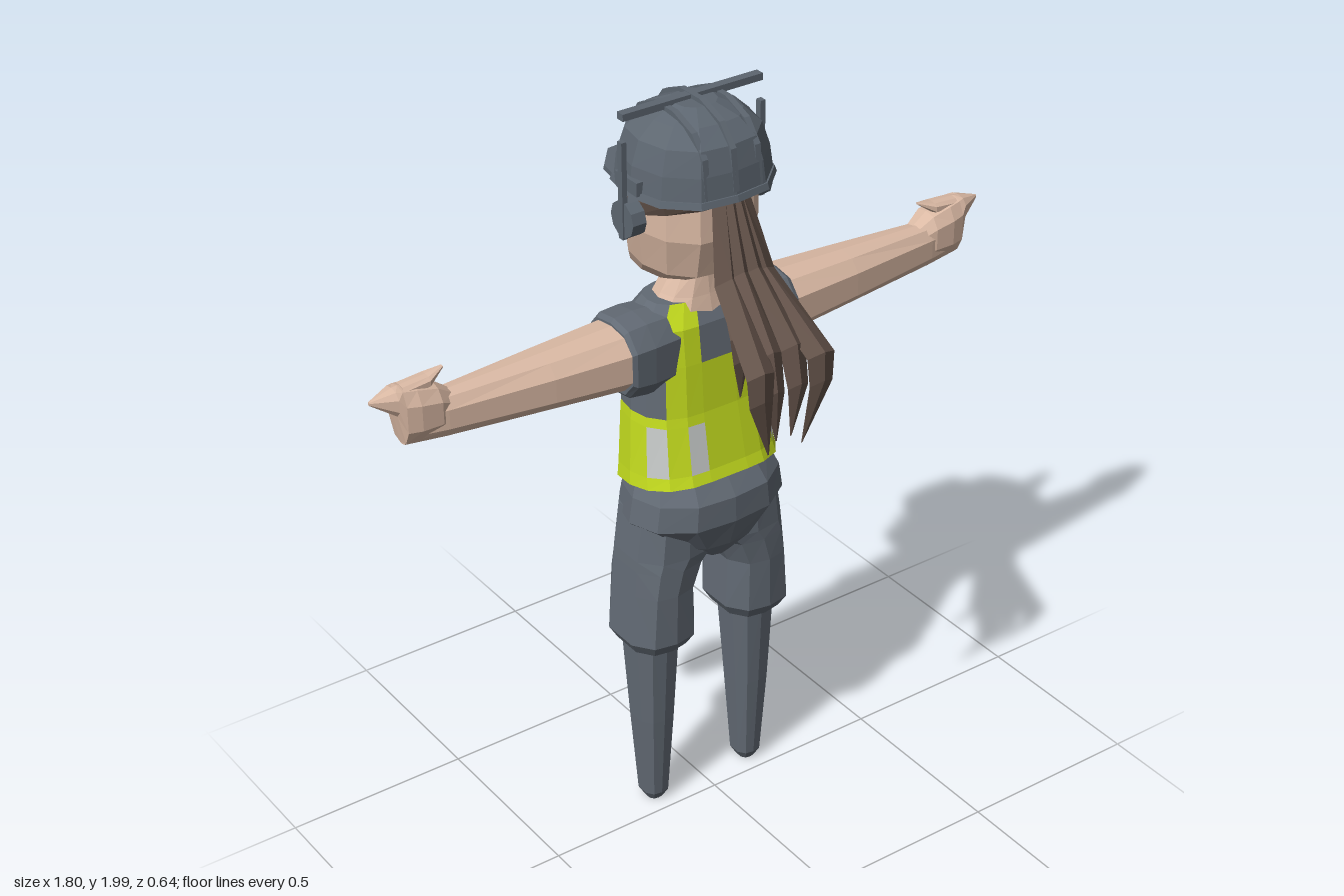
import * as THREE from 'three';

const mat = (name, color) => {
  const m = new THREE.MeshStandardMaterial({ color });
  m.name = name;
  return m;
};

// Half outlines (x, z factors), from the +z side round to the -z side
const ROUND = [[0, 1], [0.5, 0.93], [0.87, 0.55], [1, 0], [0.9, -0.55], [0.55, -0.95], [0, -1]];
const OCT = [[0, 1], [0.62, 0.9], [1, 0.45], [1, -0.45], [0.62, -0.9], [0, -1]];
const TORSO = [[0, 1], [0.27, 1], [0.52, 0.97], [0.78, 0.8], [0.95, 0.45], [1, 0],
  [0.95, -0.5], [0.78, -0.82], [0.52, -0.97], [0.27, -1], [0, -1]];
const whole = half => [...half, ...half.slice(1, -1).reverse().map(([x, z]) => [-x, z])];

// Horizontal cross-section; tilt raises the +z side
const ring = (half, y, x0, x1, z0, z1, tilt = 0) => whole(half).map(([u, v]) =>
  [(x0 + x1) / 2 + u * (x1 - x0) / 2, y + tilt * v, (z0 + z1) / 2 + v * (z1 - z0) / 2]);
// Upright cross-section across the x axis
const ringX = (x, y0, y1, z0, z1) => whole(OCT).map(([u, v]) =>
  [x, (y0 + y1) / 2 + v * (y1 - y0) / 2, (z0 + z1) / 2 + u * (z1 - z0) / 2]);

// Faceted skin over cross-sections with closed ends; pick(row, column) gives a material index
function loft(rings, pick = () => 0) {
  const buckets = [], n = rings[0].length;
  const add = (k, ...p) => (buckets[k] ??= []).push(...p);
  rings.slice(1).forEach((top, r) => {
    for (let c = 0; c < n; c++) {
      const d = (c + 1) % n, low = rings[r];
      add(pick(r, c), [low[c], low[d], top[d]], [low[c], top[d], top[c]]);
    }
  });
  const last = rings.at(-1), mid = R => [0, 1, 2].map(k => R.reduce((s, p) => s + p[k], 0) / n);
  for (let c = 0; c < n; c++) {
    const d = (c + 1) % n;
    add(0, [mid(rings[0]), rings[0][d], rings[0][c]], [mid(last), last[c], last[d]]);
  }
  // Turn the skin outward
  const V = p => new THREE.Vector3(...p);
  const volume = buckets.flat().reduce((s, [a, b, c]) => s + V(a).dot(V(b).cross(V(c))), 0);
  const g = new THREE.BufferGeometry(), pos = [];
  buckets.forEach((tris, k) => {
    g.addGroup(pos.length / 3, tris.length * 3, k);
    tris.forEach(t => pos.push(...(volume < 0 ? [t[0], t[2], t[1]] : t).flat()));
  });
  g.setAttribute('position', new THREE.Float32BufferAttribute(pos, 3));
  g.computeVertexNormals();
  return g;
}

const flat = geo => {
  const g = geo.index ? geo.toNonIndexed() : geo;
  g.computeVertexNormals();
  return g;
};

export function createModel() {
  const model = new THREE.Group();
  const slate = mat('slate cloth', 0x626a74), shell = mat('helmet grey', 0x5d6670);
  const lime = mat('lime vest', 0xc2da1e), silver = mat('reflective silver', 0xc6c9c8);
  const skin = mat('skin', 0xdab9a4), brown = mat('brown hair', 0x64534a);
  const dark = mat('dark grey', 0x3d434b);
  const put = (name, geo, material, x = 0, y = 0, z = 0) => {
    const m = new THREE.Mesh(geo, material);
    m.name = name;
    m.position.set(x, y, z);
    model.add(m);
    return m;
  };
  const box = (name, w, h, d, material, x, y, z) =>
    put(name, new THREE.BoxGeometry(w, h, d), material, x, y, z);
  const T = (y, h, z0, z1, tilt) => ring(TORSO, y, -h, h, z0, z1, tilt);
  const R = (y, h, z0, z1, tilt) => ring(ROUND, y, -h, h, z0, z1, tilt);

  // Shirt and vest: columns count from the back centre, mirrored after the tenth
  const paint = (r, c) => {
    const left = c >= 10, k = left ? 19 - c : c;
    const side = k >= 3 && k <= 6;
    if (r === 1 && (k === 3 || (left && (k === 1 || k === 8)))) return 2;
    if (r <= 2) return 1;
    if (side) return 0;
    if (r >= 4 && (k === 0 || k === 9)) return 0;
    return 1;
  };
  put('shirtAndVest', loft([
    T(1.0, 0.207, -0.212, 0.066, 0.022), T(1.035, 0.202, -0.21, 0.055, 0.015),
    T(1.175, 0.19, -0.207, 0.03), T(1.2, 0.187, -0.207, 0.025), T(1.335, 0.18, -0.206, 0.014),
    T(1.43, 0.178, -0.195, 0.002), T(1.485, 0.13, -0.165, -0.03),
  ], paint), [slate, lime, silver]);

  // Hips with a rounded seat
  put('hips', loft([
    R(0.77, 0.05, -0.14, 0.03), R(0.82, 0.13, -0.175, 0.065), R(0.9, 0.222, -0.205, 0.092),
    R(0.97, 0.21, -0.203, 0.09), R(1.03, 0.185, -0.19, 0.045),
  ]), slate);

  for (const s of [1, -1]) {
    const side = s > 0 ? 'left' : 'right';
    const L = (y, a, b, z0, z1) => ring(OCT, y, s * a, s * b, z0, z1);
    // Legs
    put(side + 'TrouserLeg', loft([
      L(0.52, 0.07, 0.225, -0.165, 0.02), L(0.555, 0.05, 0.245, -0.187, 0.042),
      L(0.7, 0.056, 0.232, -0.188, 0.042), L(0.77, 0.025, 0.226, -0.188, 0.042),
      L(0.8, -0.01, 0.223, -0.19, 0.042), L(0.92, 0, 0.205, -0.19, 0.04),
    ]), slate);
    put(side + 'LowerLeg', loft([
      L(0.003, 0.13, 0.172, -0.095, -0.045), L(0.03, 0.115, 0.187, -0.11, -0.03),
      L(0.28, 0.1, 0.203, -0.13, -0.012), L(0.54, 0.085, 0.216, -0.152, 0.002),
    ]), slate);

    // Sleeve, arm and hand
    put(side + 'Sleeve', loft([
      ringX(s * 0.1, 1.26, 1.47, -0.18, 0), ringX(s * 0.18, 1.262, 1.476, -0.188, 0.012),
      ringX(s * 0.235, 1.272, 1.474, -0.185, 0.015), ringX(s * 0.247, 1.285, 1.465, -0.175, 0.01),
    ]), slate);
    put(side + 'Arm', loft([
      ringX(s * 0.22, 1.297, 1.46, -0.17, 0.012), ringX(s * 0.45, 1.312, 1.45, -0.155, -0.01),
      ringX(s * 0.72, 1.325, 1.438, -0.132, -0.045), ringX(s * 0.825, 1.332, 1.43, -0.115, -0.065),
    ]), skin);
    const palm = (x, y0, y1, w) => ringX(s * x, y0, y1, -0.095 - w, -0.095 + w);
    put(side + 'Hand', loft([
      palm(0.69, 1.34, 1.435, 0.035), palm(0.735, 1.34, 1.468, 0.05), palm(0.79, 1.335, 1.482, 0.05),
      palm(0.825, 1.335, 1.487, 0.042), palm(0.84, 1.415, 1.485, 0.034), palm(0.9, 1.458, 1.467, 0.004),
    ]), skin);
    put(side + 'Thumb', loft([
      ringX(s * 0.705, 1.494, 1.5, -0.1, -0.09), ringX(s * 0.75, 1.462, 1.492, -0.12, -0.07),
      ringX(s * 0.82, 1.45, 1.487, -0.12, -0.07),
    ]), skin);

    // Face
    const eye = box(side + 'Eye', 0.016, 0.05, 0.012, dark, s * 0.08, 1.705, -0.243);
    eye.rotation.y = s * 0.1;
    const brow = box(side + 'Eyebrow', 0.055, 0.014, 0.014, brown, s * 0.085, 1.755, -0.244);
    brow.rotation.set(0, s * 0.15, s * -0.15);

    // Ear defender
    const cup = put(side + 'EarCup', flat(new THREE.CylinderGeometry(0.047, 0.047, 0.038, 10)),
      shell, s * 0.184, 1.725, -0.09);
    cup.rotation.z = Math.PI / 2;
    box(side + 'EarCupRod', 0.014, 0.25, 0.018, shell, s * 0.2, 1.8, -0.09);
    box(side + 'HelmetClip', 0.022, 0.035, 0.09, shell, s * 0.18, 1.815, -0.09);
  }

  // Neck and head
  put('neck', loft([R(1.45, 0.125, -0.175, -0.01), R(1.495, 0.095, -0.165, -0.02),
    R(1.56, 0.055, -0.15, -0.03)]), skin);
  put('head', loft([
    R(1.5, 0.055, -0.25, -0.13), R(1.53, 0.1, -0.278, -0.05), R(1.575, 0.132, -0.256, 0.03),
    R(1.68, 0.155, -0.25, 0.063), R(1.82, 0.155, -0.246, 0.06),
  ]), skin);
  box('microphoneArm', 0.012, 0.012, 0.05, dark, -0.085, 1.655, -0.24);
  box('microphone', 0.022, 0.02, 0.016, dark, -0.085, 1.655, -0.262);

  // Hair under the helmet
  put('hair', loft([R(1.725, 0.161, -0.25, 0.069, 0.048), R(1.765, 0.17, -0.254, 0.076, 0.02),
    R(1.82, 0.168, -0.25, 0.075)]), brown);

  // Ponytail locks: each path point is x, y, z, half width, half thickness
  const lock = (name, path, s) => put(name, loft(path.map(([x, y, z, w, t]) =>
    [[s * x - w, y, z], [s * x, y + t, z + t], [s * x + w, y, z], [s * x, y - t, z - t]])), brown);
  for (const s of [1, -1]) {
    lock('outerLock', [[0.025, 1.78, 0.065, 0.03, 0.012], [0.05, 1.6, 0.12, 0.037, 0.02],
      [0.088, 1.445, 0.305, 0.04, 0.016], [0.088, 1.37, 0.308, 0.034, 0.014],
      [0.05, 1.21, 0.287, 0.002, 0.002]], s);
    lock('innerLock', [[0.01, 1.79, 0.07, 0.025, 0.012], [0.02, 1.61, 0.125, 0.035, 0.022],
      [0.035, 1.465, 0.265, 0.037, 0.018], [0.035, 1.37, 0.288, 0.03, 0.014],
      [0.022, 1.235, 0.28, 0.002, 0.002]], s);
    lock('lowerLock', [[0.03, 1.62, 0.09, 0.03, 0.012], [0.06, 1.49, 0.19, 0.032, 0.014],
      [0.06, 1.42, 0.19, 0.022, 0.012], [0.045, 1.31, 0.167, 0.002, 0.002]], s);
  }

  // Helmet shell, rim and visor
  put('helmetShell', loft([
    R(1.79, 0.187, -0.253, 0.09), R(1.86, 0.178, -0.248, 0.082), R(1.92, 0.158, -0.232, 0.066),
    R(1.96, 0.115, -0.19, 0.025), R(1.985, 0.055, -0.135, -0.03),
  ]), shell);
  put('helmetRim', loft([R(1.787, 0.195, -0.262, 0.097), R(1.803, 0.19, -0.256, 0.092)]), shell);
  put('visor', loft([R(1.782, 0.17, -0.323, 0.04), R(1.794, 0.17, -0.318, 0.04)]), shell);

  // Helmet ridges running from the visor to the back
  const ridge = [[0.088, 1.81], [0.075, 1.915], [0.03, 1.968], [-0.05, 1.996], [-0.13, 1.996],
    [-0.2, 1.966], [-0.243, 1.91], [-0.257, 1.81]];
  for (const [x, k, drop] of [[0, 1, 0], [0.075, 0.95, 0.012], [-0.075, 0.95, 0.012]]) {
    const shape = new THREE.Shape(ridge.map(([z, y]) =>
      new THREE.Vector2(-0.084 + (z + 0.084) * k, y - drop)));
    const g = new THREE.ExtrudeGeometry(shape, { depth: 0.016, bevelEnabled: false });
    put('helmetRidge', g.rotateY(-Math.PI / 2).translate(0.008, 0, 0), shell, x);
  }
  box('headband', 0.4, 0.018, 0.024, shell, 0, 1.986, -0.095);
  return model;
}
